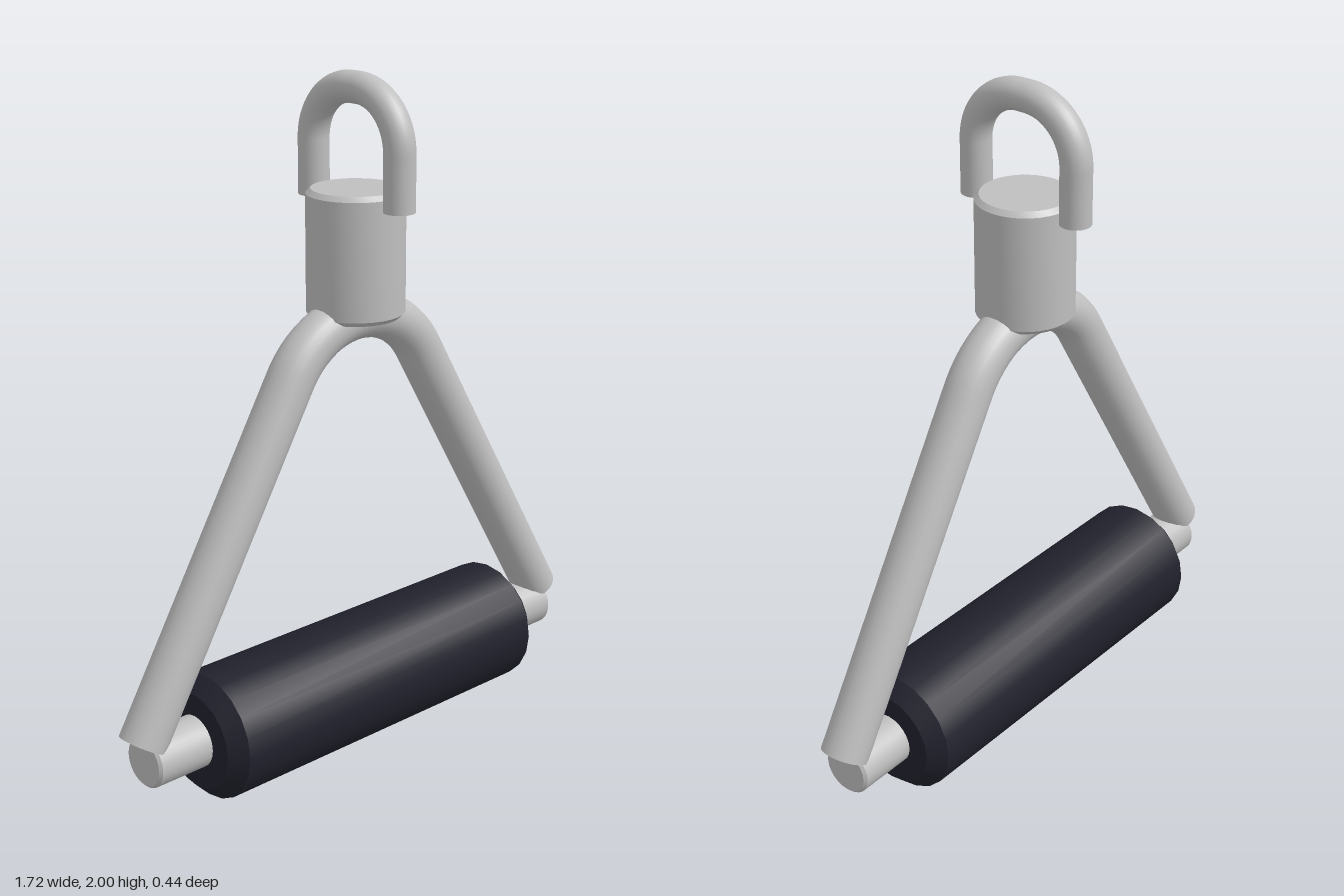
import * as THREE from 'three';
import { toCreasedNormals } from 'three/addons/utils/BufferGeometryUtils.js';

const steel = new THREE.MeshStandardMaterial({ color: 0xc0bfc0 });
steel.name = 'steel';
const rubber = new THREE.MeshStandardMaterial({ color: 0x21212d });
rubber.name = 'darkRubber';

// Symmetric bent rod in the xy plane: flat crown, two round bends, two straight legs
class BentRod extends THREE.Curve {
  constructor(top, flat, bend, angle, leg) {
    super();
    Object.assign(this, { top, flat, bend, angle, leg });
    this.half = flat + bend * angle + leg;
  }
  getPoint(t, target = new THREE.Vector3()) {
    const d = (t * 2 - 1) * this.half;
    const s = Math.abs(d);
    const a = Math.min(Math.max((s - this.flat) / this.bend, 0), this.angle);
    const rest = Math.max(s - this.flat - this.bend * this.angle, 0);
    const x = Math.min(s, this.flat) + this.bend * Math.sin(a) + rest * Math.cos(a);
    const y = this.top - this.bend * (1 - Math.cos(a)) - rest * Math.sin(a);
    return target.set(Math.sign(d) * x, y, 0);
  }
}

// Tube along a rod, closed by flat discs
function rodGroup(name, curve, radius, segments) {
  const group = new THREE.Group();
  group.name = name;
  const tube = new THREE.Mesh(new THREE.TubeGeometry(curve, segments, radius, 24), steel);
  tube.name = name + 'Tube';
  group.add(tube);
  for (const t of [0, 1]) {
    const cap = new THREE.Mesh(new THREE.CircleGeometry(radius, 24), steel);
    const dir = curve.getTangent(t).multiplyScalar(t ? 1 : -1);
    cap.quaternion.setFromUnitVectors(new THREE.Vector3(0, 0, 1), dir);
    cap.position.copy(curve.getPoint(t));
    cap.name = name + 'End';
    group.add(cap);
  }
  return group;
}

// Solid cylinder with chamfered rims, centred on its axis
function chamferedCylinder(name, radius, length, chamfer, sides, material) {
  const h = length / 2;
  const profile = [
    [0, -h], [radius - chamfer, -h], [radius, -h + chamfer],
    [radius, h - chamfer], [radius - chamfer, h], [0, h],
  ].map(([r, y]) => new THREE.Vector2(r, y));
  const geometry = toCreasedNormals(new THREE.LatheGeometry(profile, sides), 0.6);
  const mesh = new THREE.Mesh(geometry, material);
  mesh.name = name;
  return mesh;
}

export function createModel() {
  const model = new THREE.Group();
  model.name = 'cableHandle';

  // Horizontal bar and its grip
  const bar = chamferedCylinder('handleBar', 0.077, 1.6, 0.008, 24, steel);
  const grip = chamferedCylinder('grip', 0.187, 1.236, 0.044, 20, rubber);
  for (const part of [bar, grip]) {
    part.rotation.z = Math.PI / 2;
    part.position.y = 0.188;
    model.add(part);
  }

  // Triangular frame
  model.add(rodGroup('frame', new BentRod(1.312, 0, 0.29, 1.033, 1.08), 0.069, 96));

  // Swivel body
  const swivel = chamferedCylinder('swivel', 0.141, 0.366, 0.014, 32, steel);
  swivel.position.y = 1.495;
  model.add(swivel);

  // Hook across the swivel, front to back
  const hook = rodGroup('hook', new BentRod(1.955, 0.013, 0.16, Math.PI / 2, 0.16), 0.045, 64);
  hook.rotation.y = Math.PI / 2;
  model.add(hook);

  return model;
}
